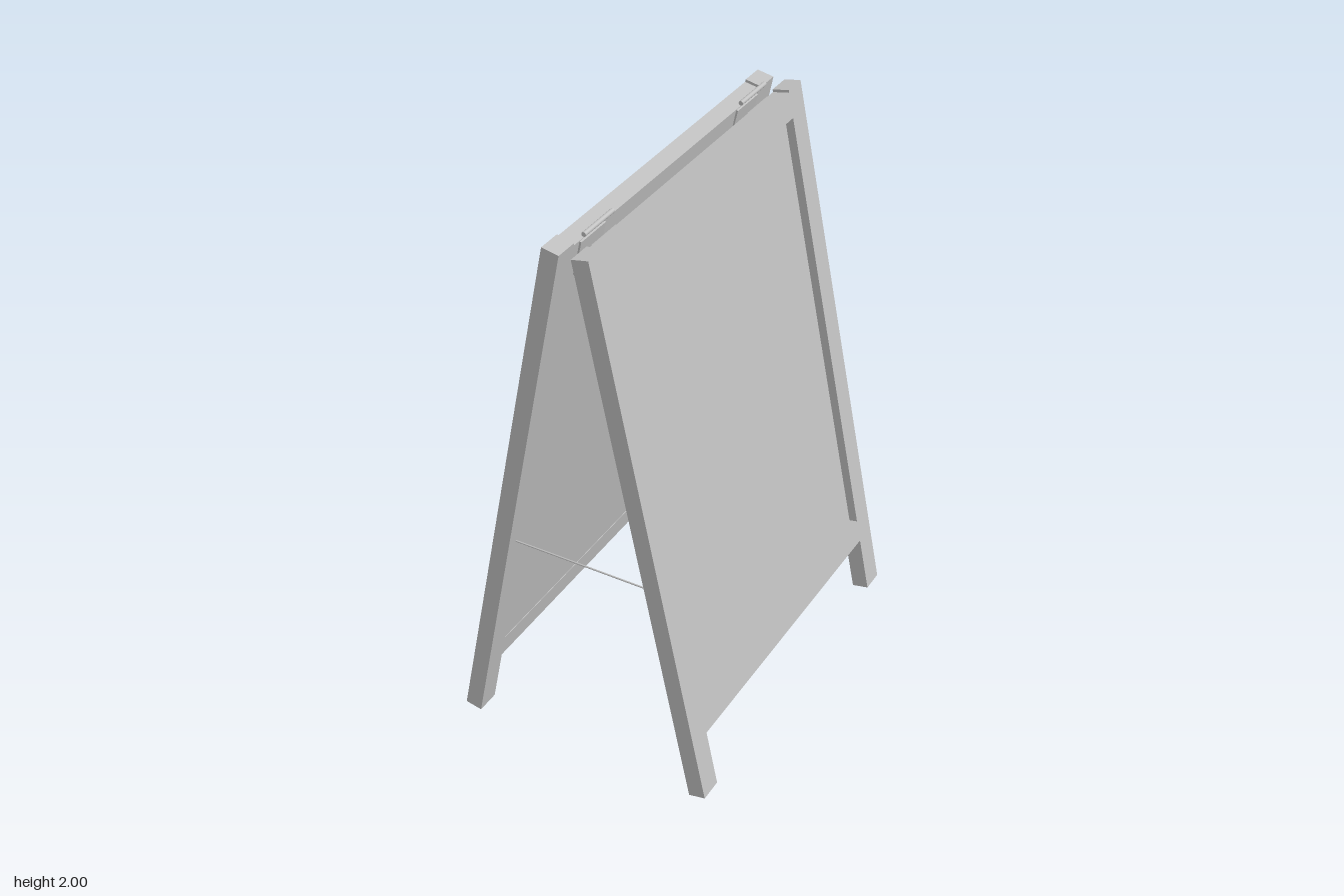
import * as THREE from 'three';

const LEAN = 0.2;      // tilt of each leaf from vertical
const DEPTH = 0.061;   // thickness of the frame timber
const POST_Z = 0.63;   // centre of each post

export function createModel() {
  const model = new THREE.Group();
  model.name = 'foldingBoard';
  const grey = new THREE.MeshStandardMaterial({ color: 0xc0c0c0 });
  grey.name = 'plain grey';

  const add = (parent, name, geometry, x, y, z) => {
    const mesh = new THREE.Mesh(geometry, grey);
    mesh.name = name;
    mesh.position.set(x, y, z);
    parent.add(mesh);
    return mesh;
  };
  const box = (parent, name, size, pos) =>
    add(parent, name, new THREE.BoxGeometry(...size), ...pos);

  // One leaf: local +x is its outer face, local y runs along the posts
  const makeLeaf = (name) => {
    const leaf = new THREE.Group();
    leaf.name = name;
    leaf.position.set(0.25, 0.99, 0);
    leaf.rotation.z = LEAN;
    for (const s of [1, -1]) {
      box(leaf, 'post', [DEPTH, 2.007, 0.086], [0, 0, s * POST_Z]);
      // hinge plate, bent slightly away from the top rail
      const plate = box(leaf, 'hingePlate', [0.007, 0.125, 0.14], [-0.032, 0.929, s * 0.485]);
      plate.rotation.z = 0.03;
    }
    box(leaf, 'topRail', [DEPTH, 0.09, 1.174], [0, 0.949, 0]);
    box(leaf, 'bottomRail', [DEPTH, 0.085, 1.174], [0, -0.7475, 0]);
    // writing panel, recessed from the outer face
    box(leaf, 'panel', [0.028, 1.609, 1.174], [-0.0145, 0.0995, 0]);
    return leaf;
  };

  const leftLeaf = makeLeaf('leftLeaf');
  const rightLeaf = new THREE.Group();
  rightLeaf.name = 'rightLeafMirror';
  rightLeaf.add(makeLeaf('rightLeaf'));
  rightLeaf.rotation.y = Math.PI;
  model.add(leftLeaf, rightLeaf);

  for (const s of [1, -1]) {
    // hinge pin along the ridge
    const pin = add(model, 'hingePin', new THREE.CylinderGeometry(0.008, 0.008, 0.165, 16), 0, 1.992, s * 0.485);
    pin.rotation.x = Math.PI / 2;
    // stay cord between the posts
    const cord = add(model, 'stayCord', new THREE.CylinderGeometry(0.003, 0.003, 0.53, 8), 0, 0.79, s * POST_Z);
    cord.rotation.z = Math.PI / 2;
  }
  return model;
}
